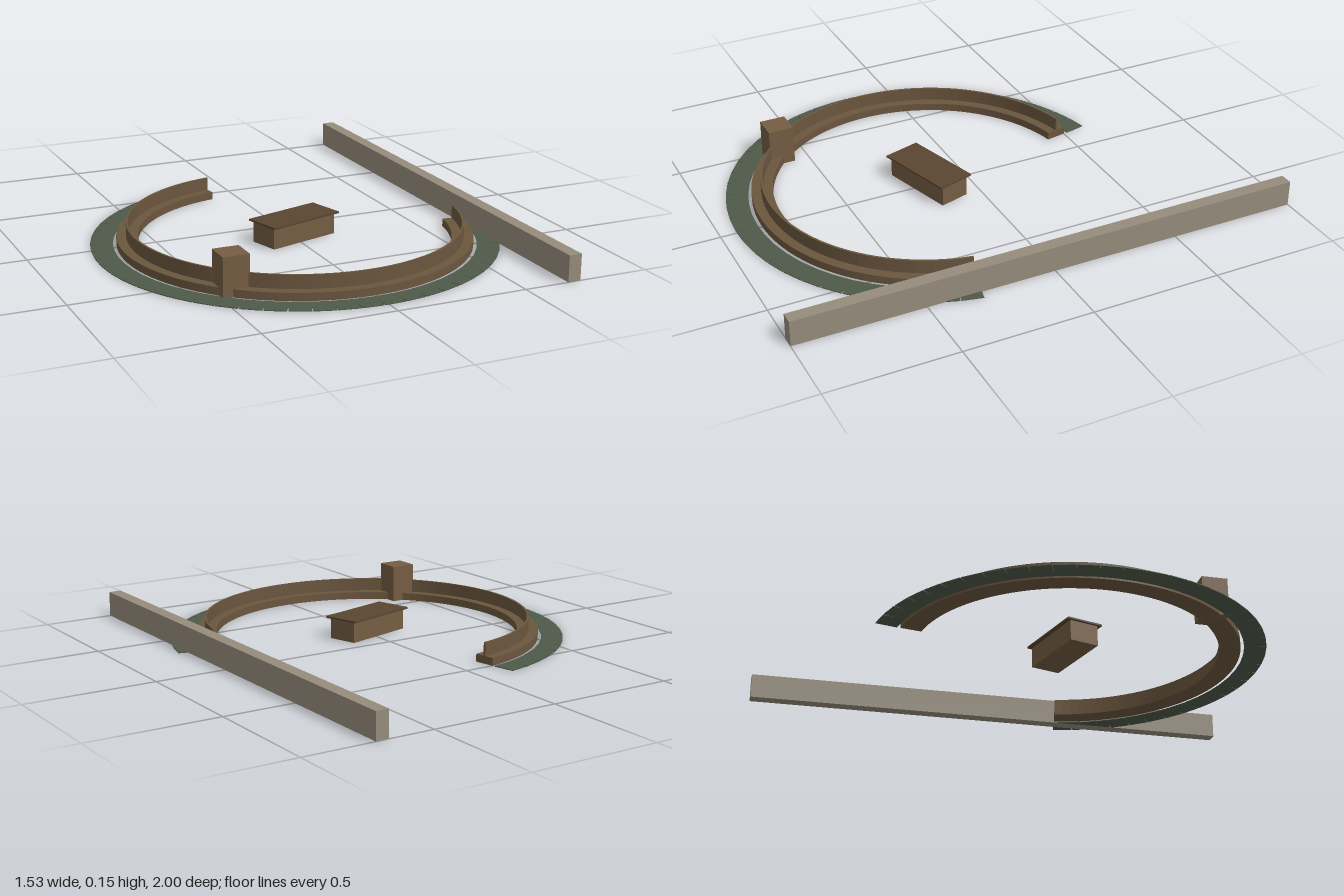
import * as THREE from 'three';

const CENTRE_Z = 0.164;
const START = THREE.MathUtils.degToRad(10);   // sweep runs from the +x end, round the front, to the back
const END = THREE.MathUtils.degToRad(260);

const mat = (color) => new THREE.MeshStandardMaterial({ color, flatShading: true });

function box(name, size, position, material) {
  const mesh = new THREE.Mesh(new THREE.BoxGeometry(...size), material);
  mesh.name = name;
  mesh.position.set(...position);
  return mesh;
}

// Upright ring sector standing on y = 0
function ringSector(name, inner, outer, height, material) {
  const shape = new THREE.Shape();
  shape.absarc(0, 0, outer, START, END, false);
  shape.absarc(0, 0, inner, END, START, true);
  const geometry = new THREE.ExtrudeGeometry(shape, { depth: height, bevelEnabled: false, curveSegments: 40 });
  geometry.rotateX(Math.PI / 2).translate(0, height, 0);
  const mesh = new THREE.Mesh(geometry, material);
  mesh.name = name;
  return mesh;
}

export function createModel() {
  const model = new THREE.Group();
  model.name = 'ringFort';
  const earth = mat(0x6b563e);
  const timber = mat(0x755d42);

  // Round enclosure
  const enclosure = new THREE.Group();
  enclosure.name = 'enclosure';
  enclosure.position.z = CENTRE_Z;
  model.add(enclosure);

  // Low bank with a thin palisade along its middle
  enclosure.add(ringSector('bank', 0.593, 0.675, 0.03, earth));
  enclosure.add(ringSector('palisade', 0.63, 0.638, 0.082, earth));

  // Ditch of flat straight pieces, leaving small wedges open on the outer edge
  const ditch = new THREE.Group();
  ditch.name = 'ditch';
  const ditchMat = mat(0x4f5a4a);
  const count = 40, step = (END - START) / count, radius = 0.73;
  for (let i = 0; i < count; i++) {
    const a = START + (i + 0.5) * step;
    const piece = box('ditchPiece', [0.085, 0.003, 2 * radius * Math.tan(step / 2)],
      [radius * Math.cos(a), 0.0015, radius * Math.sin(a)], ditchMat);
    piece.rotation.y = -a;
    ditch.add(piece);
  }
  enclosure.add(ditch);

  // Tower straddling the bank
  model.add(box('tower', [0.1, 0.15, 0.1], [-0.445, 0.075, 0.61], timber));

  // Hall with a flat overhanging roof
  const hall = new THREE.Group();
  hall.name = 'hall';
  hall.position.z = 0.16;
  hall.rotation.y = THREE.MathUtils.degToRad(16.3);
  hall.add(box('hallWalls', [0.3, 0.082, 0.12], [0, 0.041, 0], timber));
  hall.add(box('hallRoof', [0.32, 0.007, 0.15], [0, 0.0855, 0], mat(0x5a4632)));
  model.add(hall);

  // Long straight wall
  model.add(box('longWall', [0.05, 0.1, 2], [0.7, 0.05, 0], mat(0x968c7c)));

  return model;
}
